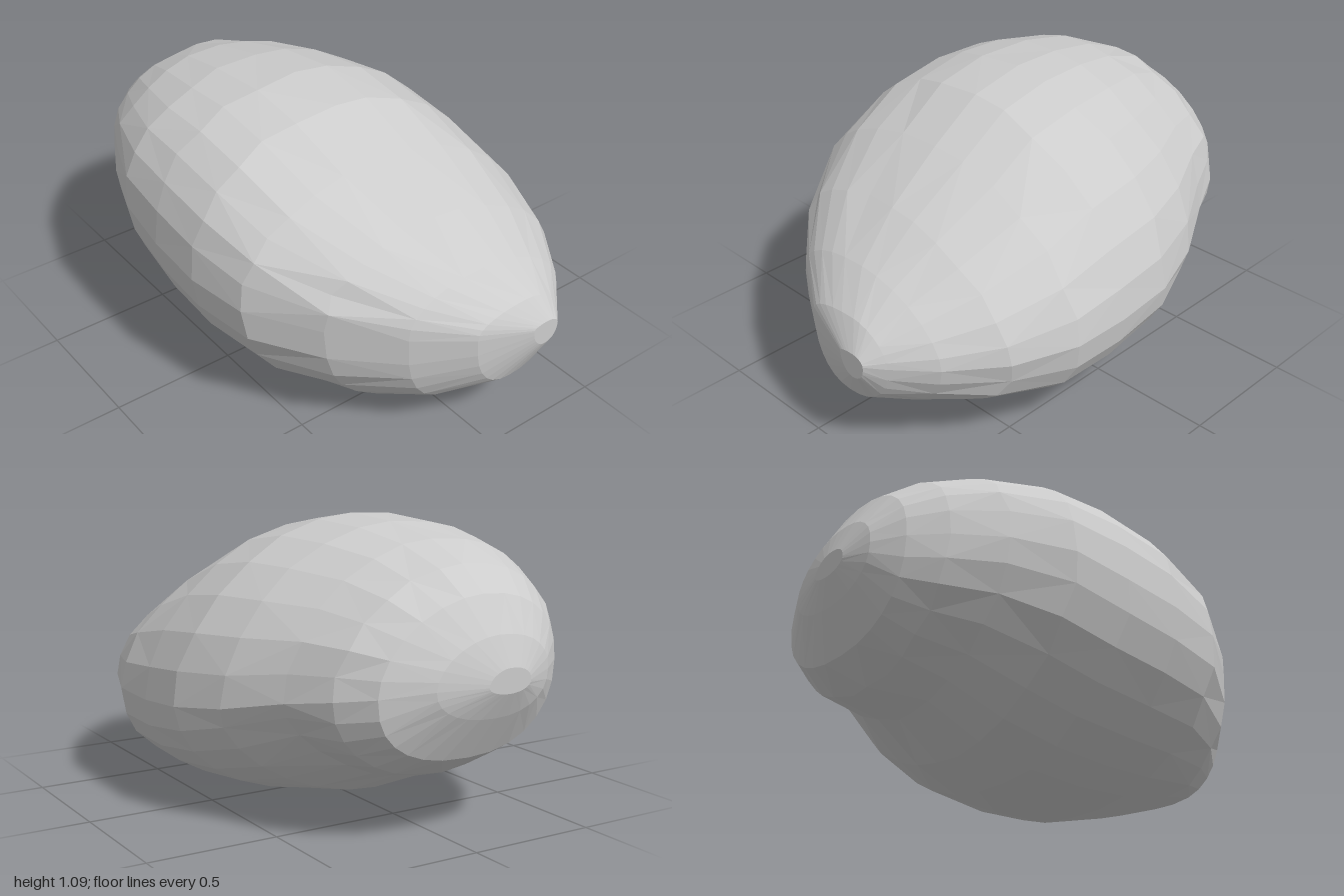
import * as THREE from 'three';

// Cross-sections from front to back:
// z, left edge x y, right edge x y, crown x y, underside x y,
// then the curve power of the lower left and lower right quarter (below 1 is boxier)
const SECTIONS = [
  [1.0, 0.17, 0.44, 0.29, 0.43, 0.24, 0.46, 0.23, 0.36, 1, 0.9],
  [0.94, -0.05, 0.47, 0.35, 0.42, 0.18, 0.55, 0.13, 0.22, 0.85, 0.95],
  [0.81, -0.26, 0.49, 0.48, 0.41, 0.08, 0.66, 0.03, 0.14, 0.76, 1],
  [0.61, -0.48, 0.51, 0.62, 0.4, 0.02, 0.79, -0.02, 0.07, 0.85, 0.94],
  [0.36, -0.66, 0.53, 0.71, 0.4, -0.02, 0.93, 0, 0.015, 0.96, 0.87],
  [0.12, -0.71, 0.55, 0.715, 0.4, -0.05, 1.05, 0, 0, 1, 0.9],
  [-0.12, -0.715, 0.58, 0.71, 0.42, -0.06, 1.09, 0, 0.015, 1.02, 1],
  [-0.35, -0.7, 0.62, 0.64, 0.45, -0.08, 1.075, -0.02, 0.06, 1.06, 1.12],
  [-0.58, -0.615, 0.63, 0.515, 0.5, -0.1, 1.03, -0.04, 0.16, 1.06, 1.25],
  [-0.76, -0.52, 0.62, 0.43, 0.53, -0.1, 0.96, -0.03, 0.22, 0.98, 0.95],
  [-0.88, -0.43, 0.61, 0.33, 0.55, -0.1, 0.87, -0.05, 0.3, 0.9, 0.82],
  [-0.96, -0.33, 0.6, 0.15, 0.57, -0.11, 0.74, -0.1, 0.45, 0.9, 0.9],
  [-1.0, -0.22, 0.58, -0.04, 0.57, -0.13, 0.63, -0.13, 0.54, 1, 1],
];
const SIDES = 28;

// Small repeatable random numbers in -1..1
function seeded(seed) {
  return () => {
    seed = (seed * 16807) % 2147483647;
    return (seed / 2147483647) * 2 - 1;
  };
}

// One point of a lopsided oval made of four separate quarters
function ringPoint([z, xL, yL, xR, yR, xT, yT, xB, yB, lowLeft, lowRight], angle) {
  const c = Math.cos(angle), s = Math.sin(angle);
  const right = c >= 0, up = s >= 0;
  // full upper left shoulder, sloping upper right shoulder
  const power = up ? (right ? 1.1 : 0.85) : (right ? lowRight : lowLeft);
  const u = Math.pow(Math.abs(c), power), v = Math.pow(Math.abs(s), power);
  const [sx, sy] = right ? [xR, yR] : [xL, yL];
  const [tx, ty] = up ? [xT, yT] : [xB, yB];
  return [tx + (sx - tx) * u, sy + (ty - sy) * v, z];
}

function stoneGeometry() {
  const random = seeded(71);
  const positions = [], index = [];
  const last = SECTIONS.length - 1;

  // Rings, slightly uneven away from the two ends
  SECTIONS.forEach((section, i) => {
    const rough = i > 2 && i < last - 2 ? 0.016 : 0;
    for (let j = 0; j < SIDES; j++) {
      const p = ringPoint(section, (j / SIDES) * Math.PI * 2);
      const onAxis = j % (SIDES / 4) === 0; // keep the outline extremes
      positions.push(p[0], p[1], p[2] + (onAxis ? 0 : rough * random()));
    }
  });

  // Skin, with alternating diagonals for a chipped look
  for (let i = 0; i < last; i++) {
    for (let j = 0; j < SIDES; j++) {
      const k = (j + 1) % SIDES;
      const a = i * SIDES + j, b = i * SIDES + k;
      const c = a + SIDES, d = b + SIDES;
      if ((i + j) % 2) index.push(a, c, b, b, c, d);
      else index.push(a, c, d, a, d, b);
    }
  }

  // End caps
  const front = positions.length / 3, back = front + 1;
  positions.push(0.23, 0.42, 1, -0.13, 0.58, -1);
  for (let j = 0; j < SIDES; j++) {
    const k = (j + 1) % SIDES;
    index.push(front, j, k, back, last * SIDES + k, last * SIDES + j);
  }

  const geometry = new THREE.BufferGeometry();
  geometry.setAttribute('position', new THREE.Float32BufferAttribute(positions, 3));
  geometry.setIndex(index);
  geometry.computeVertexNormals();
  return geometry;
}

export function createModel() {
  const group = new THREE.Group();
  group.name = 'rock';
  const material = new THREE.MeshStandardMaterial({ color: 0xcccccc, flatShading: true });
  const stone = new THREE.Mesh(stoneGeometry(), material);
  stone.name = 'stone';
  group.add(stone);
  return group;
}
